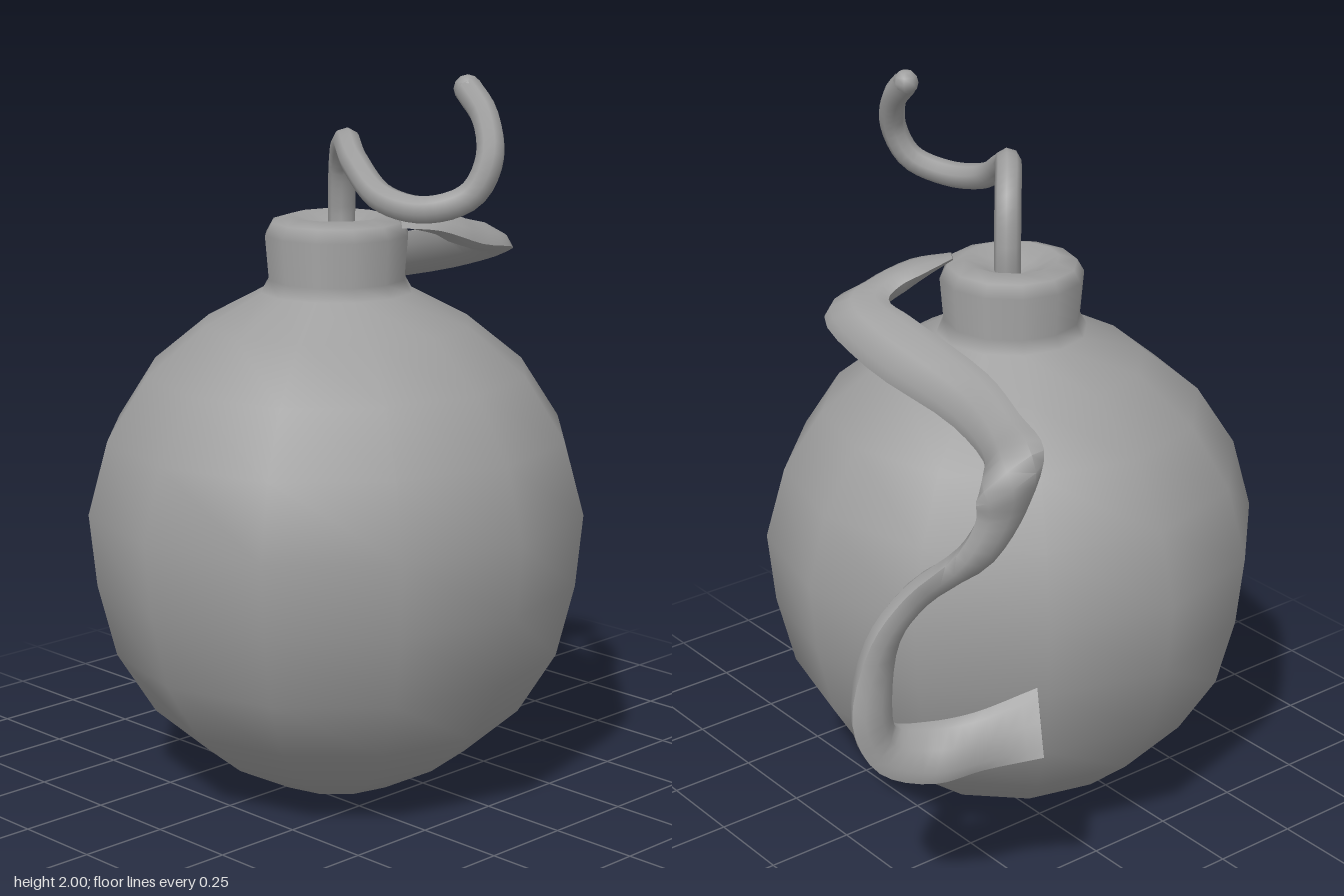
import * as THREE from 'three';
import { toCreasedNormals } from 'three/addons/utils/BufferGeometryUtils.js';

const V = (p) => new THREE.Vector3(...p);

function addMesh(group, name, geometry, doubleSided = false) {
  const material = new THREE.MeshStandardMaterial({ color: 0x9e9e9e });
  if (doubleSided) material.side = THREE.DoubleSide;
  const mesh = new THREE.Mesh(geometry, material);
  mesh.name = name;
  group.add(mesh);
  return mesh;
}

// Strap lofted between two edge curves, with a padded lens cross-section
function strap(sections, steps) {
  const edgeA = new THREE.CatmullRomCurve3(sections.map((s) => V(s[0])));
  const edgeB = new THREE.CatmullRomCurve3(sections.map((s) => V(s[1])));
  const mid = (t) => edgeA.getPoint(t).add(edgeB.getPoint(t)).multiplyScalar(0.5);
  const sides = 8, pos = [], index = [];
  for (let i = 0; i <= steps; i++) {
    const t = i / steps;
    const c = mid(t);
    const half = edgeA.getPoint(t).sub(c);
    const tangent = mid(Math.min(1, t + 0.01)).sub(mid(Math.max(0, t - 0.01)));
    const normal = tangent.cross(half).normalize();
    const thick = 0.008 + 0.03 * Math.min(1, Math.sin(Math.PI * t) * 3);
    for (let j = 0; j < sides; j++) {
      const a = (j / sides) * Math.PI * 2;
      const p = c.clone().addScaledVector(half, Math.cos(a)).addScaledVector(normal, thick * Math.sin(a));
      pos.push(p.x, p.y, p.z);
    }
  }
  for (let i = 0; i < steps; i++) {
    for (let j = 0; j < sides; j++) {
      const a = i * sides + j, b = i * sides + ((j + 1) % sides);
      index.push(a, b, a + sides, b, b + sides, a + sides);
    }
  }
  // End caps
  const last = steps * sides;
  for (let j = 1; j < sides - 1; j++) index.push(0, j + 1, j, last, last + j, last + j + 1);
  const geo = new THREE.BufferGeometry();
  geo.setAttribute('position', new THREE.Float32BufferAttribute(pos, 3));
  geo.setIndex(index);
  return toCreasedNormals(geo, 1.1);
}

export function createModel() {
  const group = new THREE.Group();
  group.name = 'bomb';

  // Round body with a flat base, flowing into a collar with a dished top
  const profile = [
    [0, 0], [0.19, 0.005], [0.37, 0.1], [0.52, 0.23], [0.625, 0.4], [0.675, 0.6],
    [0.695, 0.8], [0.64, 1.0], [0.53, 1.17], [0.37, 1.3], [0.21, 1.385], [0.19, 1.42],
    [0.2, 1.54], [0.18, 1.575], [0.13, 1.59], [0.07, 1.56], [0, 1.53],
  ].map(([r, y]) => new THREE.Vector2(r, y));
  const body = new THREE.LatheGeometry(profile, 12).scale(1, 1, 0.988);
  addMesh(group, 'bodyAndCollar', body.translate(-0.11, 0, 0.022));

  // Curling fuse with a rounded tip
  const fusePath = new THREE.CatmullRomCurve3([
    [-0.1, 1.52, 0.03], [-0.1, 1.62, 0.03], [-0.125, 1.74, 0.06], [-0.19, 1.805, 0.14],
    [-0.265, 1.765, 0.25], [-0.295, 1.69, 0.38], [-0.265, 1.67, 0.51], [-0.2, 1.71, 0.6],
    [-0.16, 1.8, 0.625], [-0.13, 1.9, 0.58], [-0.12, 1.965, 0.51],
  ].map(V));
  addMesh(group, 'fuse', new THREE.TubeGeometry(fusePath, 48, 0.037, 8));
  const tip = addMesh(group, 'fuseTip', new THREE.SphereGeometry(0.036, 8, 6));
  tip.position.copy(fusePath.getPoint(1));

  // Loose strap: over the collar, back across the shoulder, then curling behind
  addMesh(group, 'strap', strap([
    [[-0.04, 1.565, 0.2], [0.05, 1.605, 0.08]],
    [[0.07, 1.55, 0.24], [0.14, 1.58, 0.09]],
    [[0.22, 1.5, 0.255], [0.2, 1.555, 0.11]],
    [[0.37, 1.47, 0.23], [0.25, 1.53, 0.1]],
    [[0.385, 1.395, 0.02], [0.25, 1.51, 0.0]],
    [[0.34, 1.32, -0.3], [0.23, 1.44, -0.3]],
    [[0.39, 1.28, -0.5], [0.27, 1.4, -0.48]],
    [[0.48, 1.25, -0.57], [0.32, 1.37, -0.64]],
    [[0.48, 1.2, -0.57], [0.34, 1.22, -0.61]],
    [[0.52, 1.1, -0.54], [0.41, 1.08, -0.56]],
    [[0.62, 0.98, -0.46], [0.5, 0.94, -0.4]],
    [[0.73, 0.88, -0.46], [0.6, 0.83, -0.38]],
    [[0.8, 0.68, -0.47], [0.66, 0.7, -0.44]],
    [[0.74, 0.53, -0.5], [0.65, 0.62, -0.43]],
    [[0.6, 0.47, -0.55], [0.56, 0.6, -0.46]],
    [[0.48, 0.49, -0.6], [0.47, 0.63, -0.54]],
    [[0.36, 0.53, -0.7], [0.31, 0.68, -0.61]],
  ], 64), true);

  return group;
}
